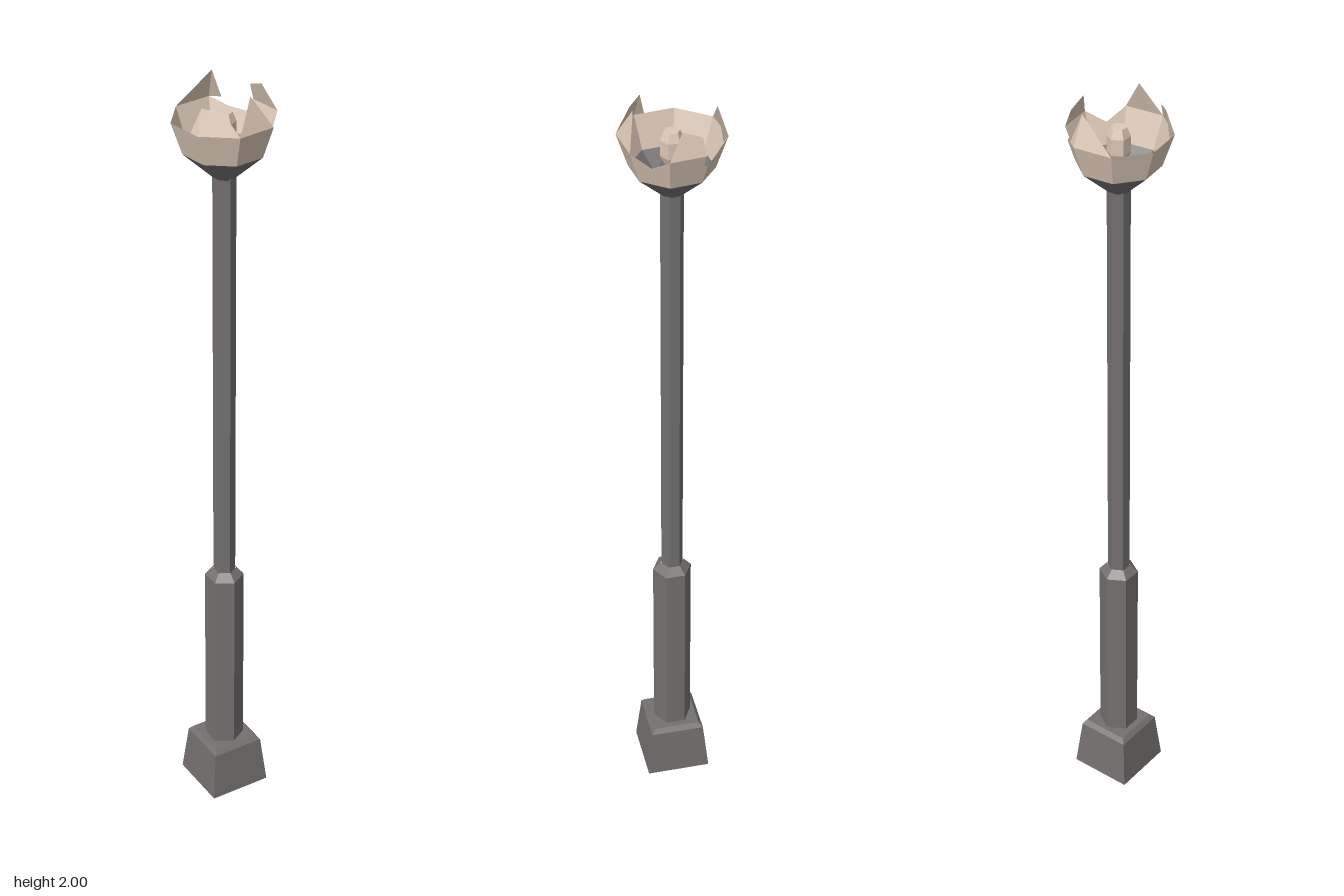
import * as THREE from 'three';

const metal = new THREE.MeshStandardMaterial({ color: 0x747070, flatShading: true });
const metalThin = new THREE.MeshStandardMaterial({ color: 0x747070, flatShading: true, side: THREE.DoubleSide });
const glass = new THREE.MeshStandardMaterial({ color: 0xdcc8b6, flatShading: true, side: THREE.DoubleSide });

const SIDES = 8;
const CX = -0.003; // post axis

// Stack of rings [radius, y] with a given number of sides
function turned(name, sides, rings, material, turn = 0) {
  const pts = rings.map(([r, y]) => new THREE.Vector2(r, y));
  const mesh = new THREE.Mesh(new THREE.LatheGeometry(pts, sides, turn), material);
  mesh.name = name;
  return mesh;
}

// Point on the eight-sided globe: u counts corners, y is height
function onGlobe(u, y) {
  const r = y < 1.92
    ? THREE.MathUtils.mapLinear(y, 1.84, 1.92, 0.1, 0.127)
    : THREE.MathUtils.mapLinear(y, 1.92, 2.0, 0.127, 0.1);
  const corner = (k) => {
    const a = THREE.MathUtils.degToRad(15 + 45 * k);
    return new THREE.Vector3(r * Math.cos(a), y, r * Math.sin(a));
  };
  const k = Math.floor(u);
  return corner(k).lerp(corner(k + 1), u - k);
}

// Flat panes, each a fan of [u, y] points lying on one facet
function panes(name, polygons) {
  const pos = [];
  for (const poly of polygons) {
    const p = poly.map(([u, y]) => onGlobe(u, y));
    for (let i = 1; i < p.length - 1; i++) {
      for (const v of [p[0], p[i + 1], p[i]]) pos.push(v.x, v.y, v.z);
    }
  }
  const g = new THREE.BufferGeometry();
  g.setAttribute('position', new THREE.Float32BufferAttribute(pos, 3));
  // Wind every triangle so that it faces away from the axis
  const a = g.attributes.position;
  for (let i = 0; i < a.count; i += 3) {
    const [p, q, r] = [0, 1, 2].map((j) => new THREE.Vector3().fromBufferAttribute(a, i + j));
    const n = q.clone().sub(p).cross(r.clone().sub(p));
    if (n.x * p.x + n.z * p.z < 0) {
      a.setXYZ(i + 1, r.x, r.y, r.z);
      a.setXYZ(i + 2, q.x, q.y, q.z);
    }
  }
  g.computeVertexNormals();
  const mesh = new THREE.Mesh(g, glass);
  mesh.name = name;
  return mesh;
}

export function createModel() {
  const lamp = new THREE.Group();
  lamp.name = 'brokenStreetLamp';

  // Square tapered foot with a chamfered top
  const d = Math.SQRT2;
  lamp.add(turned('foot', 4,
    [[0, 0], [0.083 * d, 0], [0.07 * d, 0.13], [0.06 * d, 0.142], [0, 0.142]], metal, Math.PI / 4));

  // Hexagonal lower column, shoulder and slim post
  lamp.add(turned('column', 6, [[0.05, 0.14], [0.05, 0.655], [0.03, 0.675]], metal));
  lamp.add(turned('post', 6, [[0.028, 0.67], [0.028, 1.85], [0, 1.85]], metal));

  // Metal cup below the globe
  lamp.add(turned('cup', SIDES, [[0.026, 1.772], [0.1, 1.84]], metalThin, Math.PI / 6));

  // Small bulb
  lamp.add(turned('bulb', 6,
    [[0.018, 1.85], [0.028, 1.87], [0.028, 1.91], [0.019, 1.932], [0, 1.932]], glass));

  // Lower ring of the globe; the rim is chipped on the left side
  const rim = [1.92, 1.92, 1.92, 1.92, 1.92, 1.92, 1.92, 1.89];
  const chips = { 0: 1.89, 6: 1.9, 7: 1.905 };
  const lower = rim.map((y, k) => [
    [k, 1.84], [k + 0.9999, 1.84], [k + 0.9999, rim[(k + 1) % SIDES]],
    [k + 0.5, chips[k] ?? 1.92], [k, y],
  ]);
  lamp.add(panes('globeLower', lower));

  // Jagged shards standing on the ring
  lamp.add(panes('globeShards', [
    [[1, 1.92], [1.9999, 1.92], [1.5, 2.0]],
    [[2, 1.92], [2.9999, 1.92], [2.9999, 1.98], [2.4, 1.972]],
    [[3, 1.92], [3.25, 1.92], [3, 1.98]],
    [[5, 1.92], [5.9999, 1.92], [5.9999, 1.995], [5.55, 1.965]],
    [[6, 1.92], [6.3, 1.92], [6, 1.995]],
    [[7.1, 1.89], [7.5, 1.905], [7.9999, 1.92], [7.5, 1.92], [7.1, 1.92]],
    [[7.1, 1.92], [7.9999, 1.92], [7.65, 1.98], [7.1, 1.962]],
  ]));

  lamp.children.forEach((part) => { part.position.x = CX; });
  return lamp;
}
